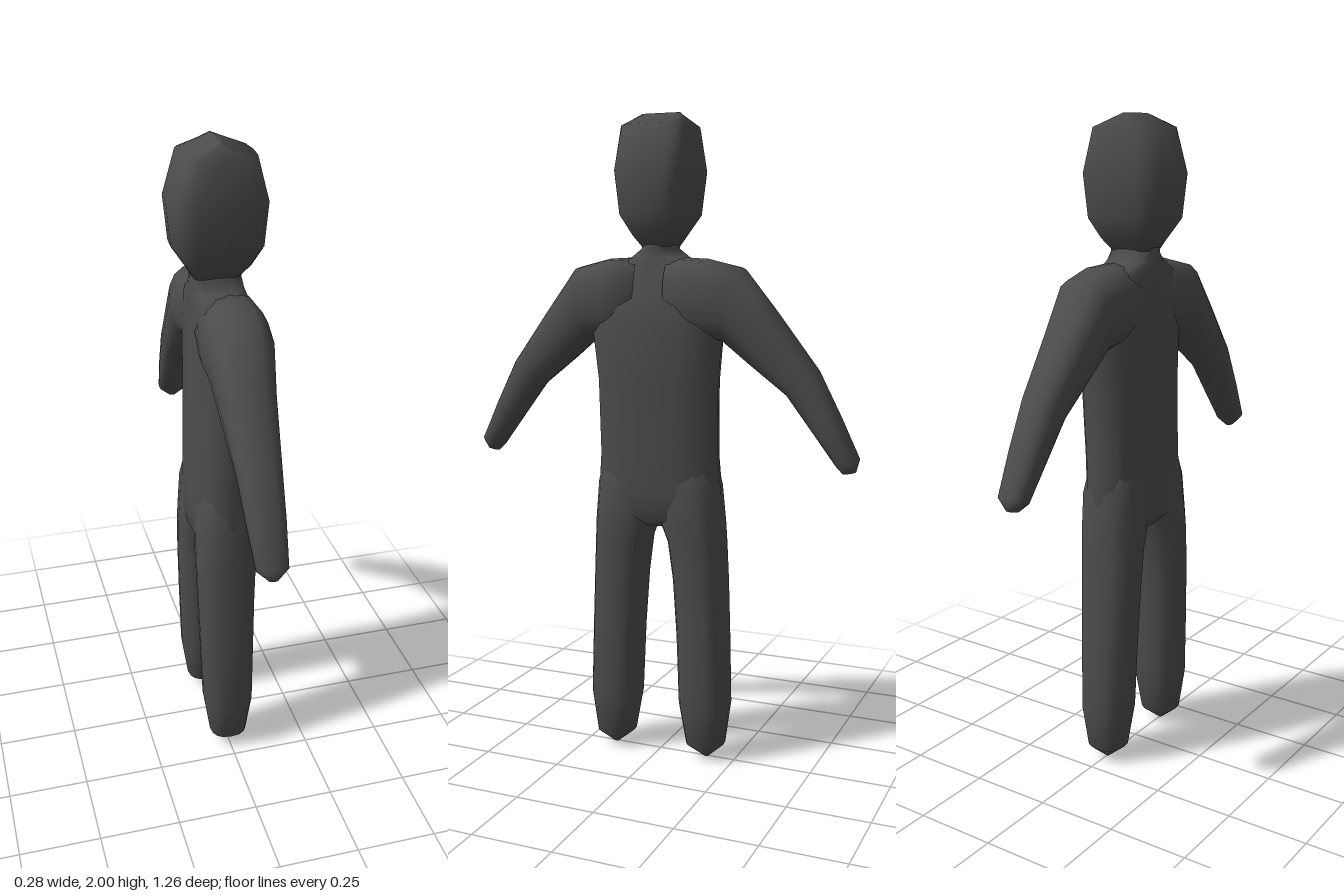
import * as THREE from 'three';

const SIDES = 16;
const material = new THREE.MeshStandardMaterial({ color: 0x4c4c4c });

// Each section is [z1, y1, z2, y2, xBack, xFront]: two opposite edge points
// of the silhouette plus the depth range. Lower power gives boxier rings.
function loft(name, sections, power = 0.8) {
  const bend = (v) => Math.sign(v) * Math.abs(v) ** power;
  const positions = [];
  const index = [];
  for (const [z1, y1, z2, y2, x0, x1] of sections) {
    for (let j = 0; j < SIDES; j++) {
      const a = (j / SIDES) * Math.PI * 2;
      const c = bend(Math.cos(a)) / 2;
      const s = bend(Math.sin(a)) / 2;
      positions.push(
        (x0 + x1) / 2 + (x1 - x0) * s,
        (y1 + y2) / 2 + (y1 - y2) * c,
        (z1 + z2) / 2 + (z1 - z2) * c
      );
    }
  }
  const last = (sections.length - 1) * SIDES;
  for (let i = 0; i < last; i += SIDES) {
    for (let j = 0; j < SIDES; j++) {
      const k = (j + 1) % SIDES;
      index.push(i + j, i + k, i + SIDES + k, i + j, i + SIDES + k, i + SIDES + j);
    }
  }
  // Close both ends with fans
  for (const [z1, y1, z2, y2, x0, x1] of [sections[0], sections.at(-1)]) {
    positions.push((x0 + x1) / 2, (y1 + y2) / 2, (z1 + z2) / 2);
  }
  const centre = last + SIDES;
  for (let j = 0; j < SIDES; j++) {
    const k = (j + 1) % SIDES;
    index.push(centre, k, j, centre + 1, last + j, last + k);
  }
  const geometry = new THREE.BufferGeometry();
  geometry.setAttribute('position', new THREE.Float32BufferAttribute(positions, 3));
  geometry.setIndex(index);
  geometry.computeVertexNormals();
  const mesh = new THREE.Mesh(geometry, material);
  mesh.name = name;
  return mesh;
}

// Sections symmetric about z = 0, from [y, halfWidth, xBack, xFront]
const upright = (rows) => rows.map(([y, w, x0, x1]) => [w, y, -w, y, x0, x1]);
// Mirror sections to the other side, keeping the winding outward
const mirror = (rows) => rows.map(([z1, y1, z2, y2, x0, x1]) => [-z2, y2, -z1, y1, x0, x1]);

export function createModel() {
  const model = new THREE.Group();
  model.name = 'figure';

  // Torso and neck
  model.add(loft('torso', upright([
    [0.75, 0.1, -0.06, 0.06],
    [0.78, 0.19, -0.09, 0.092],
    [0.86, 0.202, -0.092, 0.102],
    [0.97, 0.192, -0.09, 0.108],
    [1.2, 0.194, -0.086, 0.12],
    [1.36, 0.21, -0.084, 0.132],
    [1.46, 0.2, -0.083, 0.11],
    [1.54, 0.16, -0.082, 0.09],
    [1.575, 0.085, -0.08, 0.08],
    [1.6, 0.05, -0.078, 0.077],
    [1.66, 0.048, -0.075, 0.075],
  ])));

  // Head, with a short ridge along the crown
  model.add(loft('head', upright([
    [1.605, 0.045, -0.07, 0.07],
    [1.64, 0.07, -0.09, 0.1],
    [1.7, 0.107, -0.13, 0.132],
    [1.83, 0.122, -0.142, 0.142],
    [1.96, 0.107, -0.105, 0.108],
    [2, 0.062, -0.004, 0.004],
  ]), 0.55));

  // Arms, from inside the shoulder to the fingertips
  const arm = [
    [0.05, 1.36, 0.05, 1.575, -0.078, 0.11],
    [0.14, 1.33, 0.16, 1.57, -0.084, 0.12],
    [0.215, 1.325, 0.265, 1.545, -0.084, 0.108],
    [0.3, 1.255, 0.37, 1.415, -0.075, 0.085],
    [0.41, 1.17, 0.5, 1.245, -0.064, 0.064],
    [0.49, 1.065, 0.57, 1.11, -0.056, 0.056],
    [0.565, 0.965, 0.628, 0.99, -0.046, 0.046],
    [0.582, 0.944, 0.62, 0.952, -0.015, 0.015],
  ];
  model.add(loft('leftArm', mirror(arm)), loft('rightArm', arm));

  // Legs, from the toe tips up into the hips
  const leg = [
    [0.165, 0, 0.15, 0, -0.006, 0.006],
    [0.215, 0.045, 0.095, 0.045, -0.06, 0.06],
    [0.232, 0.18, 0.072, 0.18, -0.08, 0.08],
    [0.225, 0.4, 0.064, 0.4, -0.087, 0.084],
    [0.218, 0.58, 0.052, 0.58, -0.092, 0.088],
    [0.212, 0.7, 0.036, 0.7, -0.094, 0.094],
    [0.209, 0.76, 0.012, 0.76, -0.093, 0.097],
    [0.198, 0.88, 0, 0.88, -0.088, 0.098],
    [0.17, 1, 0.02, 1, -0.06, 0.07],
  ];
  model.add(loft('leftLeg', mirror(leg)), loft('rightLeg', leg));

  return model;
}
